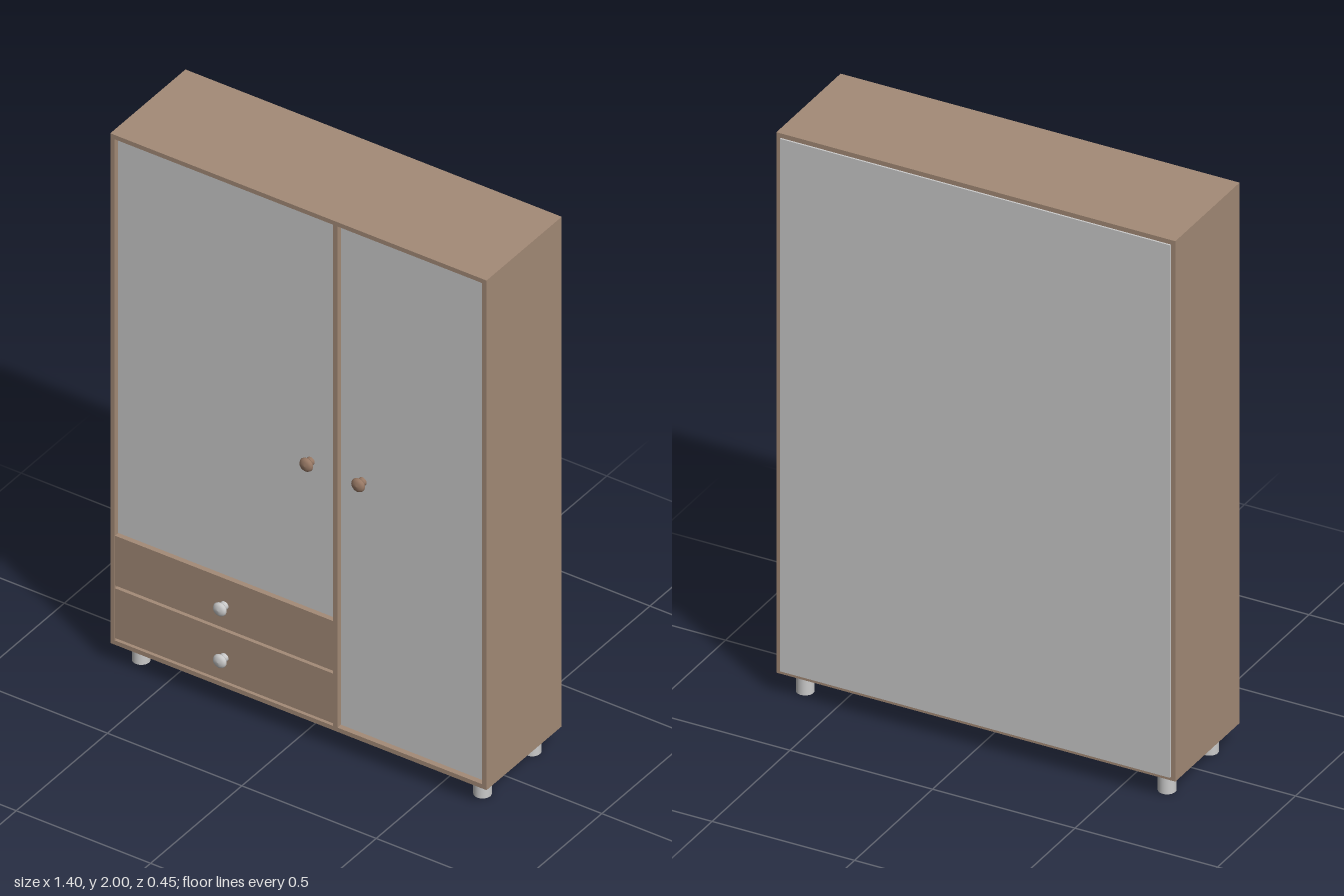
import * as THREE from 'three';

export function createModel() {
  const model = new THREE.Group();
  model.name = 'wardrobe';

  const wood = new THREE.MeshStandardMaterial({ color: 0xa48b77 });
  wood.name = 'brown wood';
  const grey = new THREE.MeshStandardMaterial({ color: 0xcbcbcb });
  grey.name = 'light grey';
  const knobWood = new THREE.MeshStandardMaterial({ color: 0x997a66 });
  knobWood.name = 'knob brown';

  // Box given by its extents on each axis
  function board(name, material, [x0, x1], [y0, y1], [z0, z1]) {
    const mesh = new THREE.Mesh(new THREE.BoxGeometry(x1 - x0, y1 - y0, z1 - z0), material);
    mesh.position.set((x0 + x1) / 2, (y0 + y1) / 2, (z0 + z1) / 2);
    mesh.name = name;
    model.add(mesh);
  }

  // Carcass
  const W = 0.7, T = 0.016, bottom = 0.08, top = 2, back = -0.222, front = 0.19;
  const depth = [back, front];
  const inner = W - T;
  board('leftSide', wood, [inner, W], [bottom, top], depth);
  board('rightSide', wood, [-W, -inner], [bottom, top], depth);
  board('topBoard', wood, [-inner, inner], [top - T, top], depth);
  board('bottomBoard', wood, [-inner, inner], [bottom, bottom + T], depth);
  board('divider', wood, [0.129, 0.145], [bottom + T, top - T], depth);
  board('backPanel', grey, [-inner, inner], [bottom + 0.012, top - T], [-0.228, -0.216]);

  // Doors set back from the front edges
  const doorFront = 0.171, doorDepth = [doorFront - 0.016, doorFront];
  board('largeDoor', grey, [-inner, 0.129], [0.488, top - T], doorDepth);
  board('smallDoor', grey, [0.145, inner], [bottom + T, top - T], doorDepth);

  // Drawer fronts with a recessed rail behind the gaps
  board('drawerRail', wood, [-inner, 0.129], [bottom + T, 0.48], [0.15, 0.171]);
  for (const y of [0.105, 0.303]) {
    board('drawerFront', wood, [-inner + 0.001, 0.129], [y, y + 0.187], [0.171, front - 0.001]);
  }

  // Knobs: a stem with a flattened round head
  const knobProfile = [[0.015, 0], [0.014, 0.016], [0.022, 0.02], [0.0245, 0.025],
    [0.022, 0.031], [0.014, 0.036], [0, 0.038]].map(([r, h]) => new THREE.Vector2(r, h));
  const knobGeometry = new THREE.LatheGeometry(knobProfile, 24);
  knobGeometry.rotateX(Math.PI / 2);
  function knob(name, material, x, y, z) {
    const mesh = new THREE.Mesh(knobGeometry, material);
    mesh.position.set(x, y, z);
    mesh.name = name;
    model.add(mesh);
  }
  for (const x of [0.033, 0.226]) knob('doorKnob', knobWood, x, 1.045, doorFront - 0.001);
  for (const y of [0.194, 0.389]) knob('drawerKnob', grey, -0.276, y, front - 0.001);

  // Feet
  const footGeometry = new THREE.CylinderGeometry(0.029, 0.029, bottom, 24);
  for (const x of [-0.635, 0.635]) {
    for (const z of [0.116, -0.156]) {
      const foot = new THREE.Mesh(footGeometry, grey);
      foot.position.set(x, bottom / 2, z);
      foot.name = 'foot';
      model.add(foot);
    }
  }

  return model;
}
